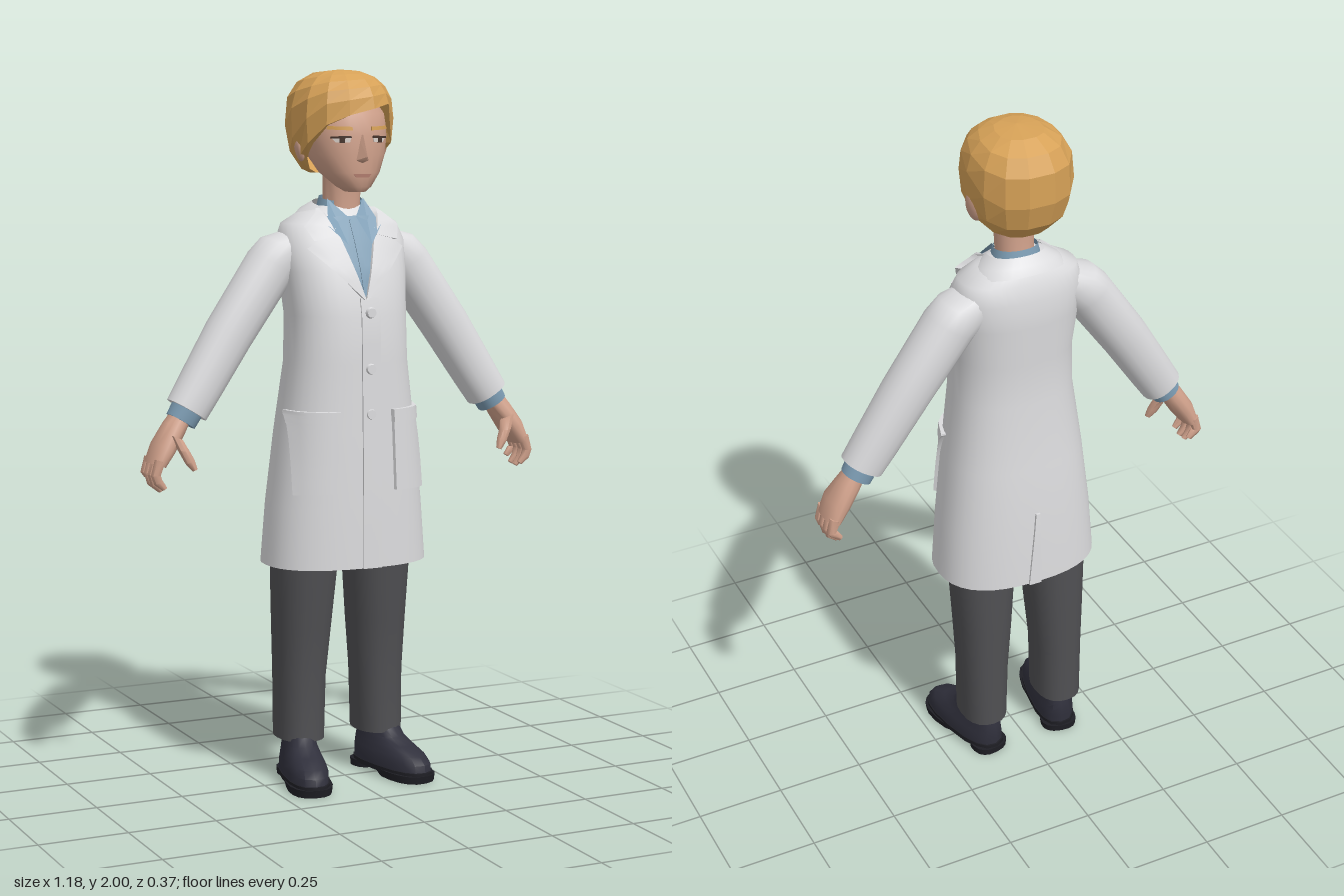
import * as THREE from 'three';
import { toCreasedNormals } from 'three/addons/utils/BufferGeometryUtils.js';
import { ConvexGeometry } from 'three/addons/geometries/ConvexGeometry.js';

const mat = (name, color) => new THREE.MeshStandardMaterial({ name, color, side: THREE.DoubleSide });
const pw = (v, p) => Math.sign(v) * Math.abs(v) ** p;
const lerp = THREE.MathUtils.lerp;

function build(pos, idx, crease) {
  const g = new THREE.BufferGeometry();
  g.setAttribute('position', new THREE.Float32BufferAttribute(pos, 3));
  g.setIndex(idx);
  if (crease === 0) { const f = g.toNonIndexed(); f.computeVertexNormals(); return f; }
  return toCreasedNormals(g, crease);
}

// Skin over cross-sections [y, x, halfWidth, zFront, zBack, tilt, slope]
function loft(sections, { p = 0.9, seg = 20, cap = true, arc = [0, Math.PI * 2], crease = 0.9 } = {}) {
  const s = [...sections].sort((a, b) => a[0] - b[0]);
  if (cap) {
    const end = ([y, x, , f, b]) => [y, x, 0, (f + b) / 2, (f + b) / 2];
    s.unshift(end(s[0])); s.push(end(s[s.length - 1]));
  }
  const pos = [], idx = [], n = seg + 1;
  for (const [y, x, r, f, b, tilt = 0, slope = 0] of s) for (let j = 0; j <= seg; j++) {
    const t = lerp(arc[0], arc[1], j / seg);
    const u = r * pw(Math.cos(t), p), w = (f - b) / 2 * pw(Math.sin(t), p);
    pos.push(x + u * Math.cos(tilt), y + u * Math.sin(tilt) + slope * w, (f + b) / 2 + w);
  }
  for (let i = 0; i < s.length - 1; i++) for (let j = 0; j < seg; j++) {
    const a = i * n + j, b = a + n;
    if (s[i + 1][2] > 0) idx.push(a, b, b + 1);
    if (s[i][2] > 0) idx.push(a, b + 1, a + 1);
  }
  return build(pos, idx, crease);
}

// Raised patch lying on a lofted body; corners run bl, br, tr, tl
function drape(sections, corners, off, { p = 0.9, side = 1, n = 6 } = {}) {
  const pos = [], idx = [], m = n + 3;
  const [bl, br, tr, tl] = corners;
  for (let i = -1; i <= n + 1; i++) for (let j = -1; j <= n + 1; j++) {
    const u = THREE.MathUtils.clamp(j / n, 0, 1), v = THREE.MathUtils.clamp(i / n, 0, 1);
    const rim = i < 0 || j < 0 || i > n || j > n;
    const o = rim ? -0.004 : off;
    const x = lerp(lerp(bl[0], br[0], u), lerp(tl[0], tr[0], u), v);
    const y = lerp(lerp(bl[1], br[1], u), lerp(tl[1], tr[1], u), v);
    let k = 0;
    while (k < sections.length - 2 && sections[k + 1][0] < y) k++;
    const A = sections[k], B = sections[k + 1];
    const t = THREE.MathUtils.clamp((y - A[0]) / (B[0] - A[0]), 0, 1);
    const r = lerp(A[2], B[2], t), f = lerp(A[3], B[3], t), b = lerp(A[4], B[4], t);
    const c = Math.min(0.995, Math.abs(x) / r) ** (1 / p);
    const h = (f - b) / 2 + o;
    pos.push(x * (r + o) / r, y, (f + b) / 2 + side * h * Math.sqrt(1 - c * c) ** p);
  }
  for (let i = 0; i < m - 1; i++) for (let j = 0; j < m - 1; j++) {
    const a = i * m + j, b = a + m;
    if (side > 0) idx.push(a, a + 1, b + 1, a, b + 1, b);
    else idx.push(a, b + 1, a + 1, a, b, b + 1);
  }
  return build(pos, idx, 0.6);
}

// Reflected copy across x = 0 with winding restored
function mirror(geo) {
  const g = geo.index ? geo.toNonIndexed() : geo.clone();
  g.scale(-1, 1, 1);
  for (const a of Object.values(g.attributes)) for (let i = 0; i < a.count; i += 3)
    for (let k = 0; k < a.itemSize; k++) {
      const q = a.getComponent(i + 1, k);
      a.setComponent(i + 1, k, a.getComponent(i + 2, k));
      a.setComponent(i + 2, k, q);
    }
  return g;
}

export function createModel() {
  const root = new THREE.Group();
  root.name = 'figure';
  const coatM = mat('coat white', 0xdcdcde), shirtM = mat('shirt blue', 0x7d9db4), skinM = mat('skin', 0xd0a18b);
  const hairM = mat('hair blond', 0xd6a157), pantsM = mat('trouser grey', 0x505053), shoeM = mat('shoe black', 0x30303c);
  const soleM = mat('sole black', 0x1f1f25), eyeM = mat('eye dark', 0x46342c), whiteM = mat('eye white', 0xd8cfc8), lipM = mat('lip', 0xb47f70);
  const add = (name, geo, m) => {
    const mesh = new THREE.Mesh(geo, m);
    mesh.name = name;
    root.add(mesh);
  };
  const pair = (name, geo, m) => { add(name + 'Left', geo, m); add(name + 'Right', mirror(geo), m); };

  // Coat body, open at the hem
  const coat = [
    [0.63, 0, 0.236, 0.15, -0.18], [0.8, 0, 0.222, 0.15, -0.175], [1.0, 0, 0.199, 0.146, -0.16],
    [1.2, 0, 0.173, 0.141, -0.137], [1.33, 0, 0.17, 0.138, -0.138], [1.45, 0, 0.18, 0.11, -0.148],
    [1.53, 0, 0.186, 0.076, -0.148], [1.58, 0, 0.168, 0.05, -0.135], [1.61, 0, 0.115, 0.032, -0.12],
    [1.627, 0, 0.07, 0.02, -0.108]];
  const P = { p: 0.82 };
  add('coatBody', loft(coat, { p: 0.82, seg: 36, cap: false }), coatM);
  add('coatShoulderTop', loft([[1.618, 0, 0.09, 0.025, -0.112], [1.627, 0, 0.07, 0.02, -0.108]], { p: 0.82 }), coatM);
  add('coatPlacket', drape(coat, [[-0.014, 0.63], [0.04, 0.63], [0.04, 1.38], [-0.014, 1.38]], 0.006, { p: 0.82, n: 12 }), coatM);
  add('coatVent', drape(coat, [[-0.006, 0.63], [0.03, 0.63], [0.006, 0.86], [-0.006, 0.86]], 0.007, { p: 0.82, side: -1 }), coatM);
  pair('pocket', drape(coat, [[0.085, 0.845], [0.192, 0.84], [0.19, 1.065], [0.078, 1.065]], 0.009, P), coatM);
  pair('pocketHem', drape(coat, [[0.078, 1.035], [0.19, 1.035], [0.19, 1.07], [0.076, 1.07]], 0.012, P), coatM);
  pair('lapel', drape(coat, [[0, 1.375], [0.004, 1.375], [0.135, 1.515], [0.055, 1.57]], 0.014, P), coatM);
  pair('collarFront', drape(coat, [[0.055, 1.55], [0.115, 1.535], [0.13, 1.575], [0.075, 1.622]], 0.017, P), coatM);
  add('collarBack', loft([[1.585, 0, 0.135, 0.045, -0.135, 0, -0.2], [1.61, 0, 0.115, 0.04, -0.122, 0, -0.2],
    [1.632, 0, 0.078, 0.035, -0.1, 0, -0.2]], { cap: false, arc: [Math.PI - 0.45, Math.PI * 2 + 0.45] }), coatM);
  for (const y of [1.34, 1.185, 1.06]) {
    const b = new THREE.CylinderGeometry(0.013, 0.016, 0.01, 12);
    b.rotateX(Math.PI / 2).translate(0.01, y, 0.15);
    add('button', b, coatM);
  }

  // Shirt front and collar
  add('shirtFront', drape(coat, [[-0.003, 1.38], [0.003, 1.38], [0.07, 1.6], [-0.07, 1.6]], 0.006, { p: 0.82, n: 10 }), shirtM);
  add('shirtPlacket', drape(coat, [[-0.004, 1.39], [0.004, 1.39], [0.011, 1.59], [-0.011, 1.59]], 0.009, P), shirtM);
  add('shirtCollar', loft([[1.58, 0, 0.078, 0.04, -0.1, 0, -0.15], [1.648, 0, 0.06, 0.025, -0.085, 0, -0.15]],
    { cap: false, arc: [Math.PI - 0.9, Math.PI * 2 + 0.9] }), shirtM);
  pair('shirtCollarWing', build([0.055, 1.648, 0, 0.012, 1.598, 0.046, 0.036, 1.525, 0.1, 0.08, 1.575, 0.064],
    [0, 1, 2, 0, 2, 3], 0), shirtM);

  // Sleeves, cuffs
  pair('sleeve', loft([
    [1.545, 0.11, 0.05, 0.01, -0.11, 0.3], [1.51, 0.16, 0.073, 0.022, -0.122, 0.45], [1.465, 0.205, 0.071, 0.025, -0.12, 0.58],
    [1.28, 0.335, 0.068, 0.026, -0.106, 0.59], [1.14, 0.425, 0.063, 0.028, -0.092, 0.59], [1.078, 0.465, 0.06, 0.028, -0.084, 0.55]]), coatM);
  pair('shirtCuff', loft([[1.1, 0.452, 0.046, 0.02, -0.074, 0.58], [1.048, 0.483, 0.043, 0.014, -0.07, 0.55]]), shirtM);

  // Hands
  pair('palm', loft([
    [1.07, 0.478, 0.028, 0.003, -0.058, 0.6], [1.03, 0.505, 0.032, 0.016, -0.066, 0.55],
    [0.98, 0.538, 0.032, 0.034, -0.074, 0.45], [0.935, 0.562, 0.024, 0.034, -0.074, 0.3]], { seg: 14 }), skinM);
  [-0.061, -0.034, -0.007, 0.02].forEach((z, i) => {
    const d = [0.018, 0, -0.003, 0.006][i];
    pair('finger' + (i + 1), loft([
      [0.95, 0.562, 0.016, z + 0.014, z - 0.014, 0.3], [0.91, 0.575, 0.014, z + 0.013, z - 0.013, 0],
      [0.885 + d, 0.568, 0.013, z + 0.012, z - 0.012, -0.5], [0.866 + d, 0.55, 0.008, z + 0.008, z - 0.008, -0.6]], { seg: 8 }), skinM);
  });
  pair('thumb', loft([
    [1.01, 0.512, 0.02, 0.034, -0.01, 0.4], [0.975, 0.497, 0.017, 0.046, 0.012, 0.1],
    [0.945, 0.482, 0.014, 0.05, 0.022, -0.4], [0.922, 0.47, 0.008, 0.05, 0.034, -0.4]], { seg: 8 }), skinM);

  // Trousers
  add('hips', loft([[0.67, 0, 0.16, 0.06, -0.13], [0.74, 0, 0.195, 0.09, -0.145], [1.0, 0, 0.17, 0.1, -0.13]]), pantsM);
  pair('trouserLeg', loft([
    [0.12, 0.122, 0.066, 0.034, -0.14], [0.3, 0.12, 0.07, 0.034, -0.14], [0.45, 0.116, 0.079, 0.05, -0.143],
    [0.63, 0.112, 0.09, 0.07, -0.142], [0.8, 0.105, 0.092, 0.085, -0.14]], { p: 0.85 }), pantsM);

  // Shoes, toes turned out
  const shoe = (name, sections, m) => pair(name, loft(sections, { p: 0.8, seg: 16, crease: 0.7 }).rotateY(0.2).translate(0.135, 0, 0), m);
  shoe('shoeUpper', [
    [0.018, 0, 0.059, 0.178, -0.128], [0.05, 0, 0.06, 0.174, -0.13], [0.07, 0, 0.055, 0.152, -0.13],
    [0.09, 0, 0.049, 0.1, -0.127], [0.108, 0, 0.045, 0.055, -0.122], [0.135, 0, 0.042, 0.03, -0.115]], shoeM);
  shoe('shoeSole', [[0, 0, 0.06, 0.18, 0.0], [0.022, 0, 0.064, 0.185, -0.03]], soleM);
  shoe('shoeWelt', [[0.016, 0, 0.062, 0.184, -0.134], [0.03, 0, 0.062, 0.184, -0.134]], soleM);
  shoe('shoeHeel', [[0, 0, 0.052, -0.045, -0.134], [0.02, 0, 0.054, -0.04, -0.136]], soleM);

  // Neck and head
  add('neck', loft([[1.56, 0, 0.058, 0.034, -0.09], [1.62, 0, 0.051, 0.026, -0.078], [1.73, 0, 0.052, 0.04, -0.078]]), skinM);
  const head = [
    [1.668, 0, 0.026, 0.1, 0.03], [1.682, 0, 0.046, 0.11, 0.0], [1.72, 0, 0.081, 0.113, -0.06],
    [1.77, 0, 0.105, 0.115, -0.11], [1.82, 0, 0.115, 0.113, -0.14], [1.88, 0, 0.115, 0.105, -0.148], [1.945, 0, 0.085, 0.06, -0.12]];
  add('head', loft(head, { seg: 24 }), skinM);
  const face = (name, c, off, m) => pair(name, drape(head, c, off, { n: 4 }), m);
  face('eyeWhite', [[0.036, 1.803], [0.07, 1.803], [0.08, 1.815], [0.032, 1.817]], 0.002, whiteM);
  face('iris', [[0.049, 1.802], [0.062, 1.802], [0.062, 1.817], [0.049, 1.817]], 0.004, eyeM);
  face('lashLine', [[0.031, 1.815], [0.082, 1.813], [0.08, 1.819], [0.033, 1.821]], 0.005, eyeM);
  face('eyebrow', [[0.028, 1.835], [0.088, 1.838], [0.086, 1.847], [0.028, 1.845]], 0.004, hairM);
  add('mouth', drape(head, [[-0.018, 1.708], [0.018, 1.708], [0.026, 1.717], [-0.026, 1.717]], 0.004, { n: 4 }), lipM);
  const nose = [[0, 1.825, 0.116], [-0.009, 1.815, 0.105], [0.009, 1.815, 0.105], [0, 1.764, 0.144], [0, 1.754, 0.138],
    [-0.019, 1.754, 0.112], [0.019, 1.754, 0.112], [0, 1.746, 0.112], [0, 1.79, 0.09]];
  add('nose', new ConvexGeometry(nose.map(v => new THREE.Vector3(...v))), skinM);
  const ear = new THREE.SphereGeometry(1, 12, 8).scale(0.015, 0.044, 0.028).rotateZ(-0.15).rotateY(0.35).translate(0.122, 1.792, -0.035);
  pair('ear', ear, skinM);

  // Faceted hair cap, long at the nape with a swept fringe
  const pos = [], idx = [], seg = 14, rows = 6;
  for (let i = 0; i <= rows + 1; i++) for (let j = 0; j <= seg; j++) {
    const t = (j % seg) / seg * Math.PI * 2, c = Math.cos(t), s = Math.sin(t);
    const edge = s > 0.5 ? 1.5 - 0.22 * c : lerp(1.85, 2.6, THREE.MathUtils.clamp((0.5 - s) / 1.15, 0, 1));
    const phi = edge * Math.min(i, rows) / rows;
    const k = pw(Math.sin(phi), 0.8) * (i > rows ? 0.78 : 1);
    const h = pw(Math.cos(phi), 0.8);
    pos.push(-0.004 + 0.145 * pw(c, 0.9) * k, 1.87 + (h > 0 ? 0.13 : 0.175) * h, -0.03 + 0.155 * pw(s, 0.9) * k);
  }
  for (let i = 0; i <= rows; i++) for (let j = 0; j < seg; j++) {
    const a = i * (seg + 1) + j, b = a + seg + 1;
    if (i > 0) idx.push(a, a + 1, b + 1);
    idx.push(a, b + 1, b);
  }
  add('hair', build(pos, idx, 0), hairM);
  return root;
}
